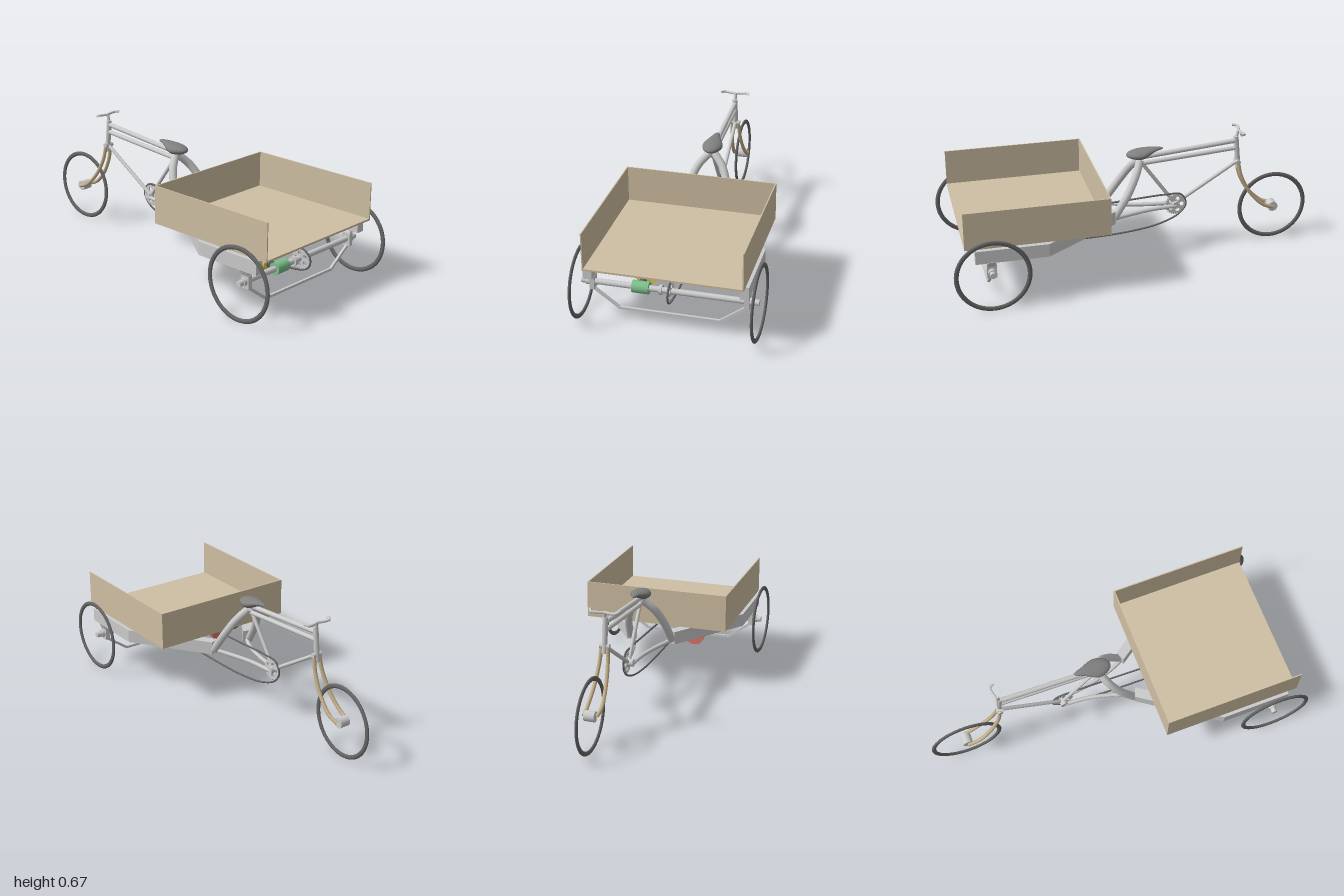
import * as THREE from 'three';

const V = (x, y, z) => new THREE.Vector3(x, y, z);
const mat = (color) => new THREE.MeshStandardMaterial({ color, side: THREE.DoubleSide });
const GREY = mat(0xcccccc), DARK = mat(0x666666), WOOD = mat(0xcfbfa3), TAN = mat(0xc4b08a);
const RED = mat(0xd97466), YELLOW = mat(0xe0c658), GREEN = mat(0x7cc08c), SADDLE = mat(0x808080);

export function createModel() {
  const model = new THREE.Group();

  function add(name, geometry, material = GREY, pos = [0, 0, 0]) {
    const mesh = new THREE.Mesh(geometry, material);
    mesh.name = name;
    mesh.position.set(...pos);
    model.add(mesh);
    return mesh;
  }
  const box = (name, size, pos, m) => add(name, new THREE.BoxGeometry(...size), m, pos);

  // Straight round bar between two points
  function rod(name, a, b, r, m, r2 = r) {
    const d = b.clone().sub(a);
    const mesh = add(name, new THREE.CylinderGeometry(r2, r, d.length(), 20), m);
    mesh.position.copy(a).addScaledVector(d, 0.5);
    mesh.quaternion.setFromUnitVectors(V(0, 1, 0), d.normalize());
    return mesh;
  }
  const tube = (name, pts, r, m, closed = false, n = 40) =>
    add(name, new THREE.TubeGeometry(new THREE.CatmullRomCurve3(pts, closed), n, r, 10, closed), m);

  // Flat bar of square section between two points
  function bar(name, a, b, w, t, m) {
    const d = b.clone().sub(a);
    const mesh = add(name, new THREE.BoxGeometry(w, d.length() + w * 0.4, t), m);
    mesh.position.copy(a).addScaledVector(d, 0.5);
    mesh.quaternion.setFromUnitVectors(V(0, 1, 0), d.normalize());
    return mesh;
  }

  // Toothed wheel on the x axis with round openings
  function gear(name, r, teeth, pos) {
    const s = new THREE.Shape();
    for (let i = 0; i < teeth * 4; i++) {
      const a = (i / (teeth * 4)) * Math.PI * 2, q = i % 4 < 2 ? r : r * 0.88;
      s[i ? 'lineTo' : 'moveTo'](Math.cos(a) * q, Math.sin(a) * q);
    }
    for (let i = 0; i < 5; i++) {
      const a = (i / 5) * Math.PI * 2;
      s.holes.push(new THREE.Path().absarc(Math.cos(a) * r * 0.55, Math.sin(a) * r * 0.55, r * 0.2, 0, Math.PI * 2, true));
    }
    const g = new THREE.ExtrudeGeometry(s, { depth: 0.008, bevelEnabled: false, curveSegments: 8 });
    add(name, g.translate(0, 0, -0.004).rotateY(Math.PI / 2), GREY, pos);
  }

  // Cargo tray, open at the +z end
  box('trayFloor', [0.79, 0.01, 0.74], [0, 0.335, 0.56], WOOD);
  box('trayEndWall', [0.79, 0.2, 0.006], [0, 0.43, 0.193], WOOD);
  for (const s of [-1, 1]) box('traySideWall', [0.006, 0.2, 0.74], [s * 0.392, 0.43, 0.56], WOOD);

  // Wheels: deep, narrow rings
  for (const [x, z] of [[-0.445, 0.8], [0.445, 0.8], [0, -0.8]]) {
    const g = new THREE.TorusGeometry(0.183, 0.012, 12, 64).scale(1, 1, 0.6).rotateY(Math.PI / 2);
    add('wheel', g, DARK, [x, 0.2, z]);
  }

  // Chassis: two bent beams that converge towards the saddle
  const plan = [[0.41, 0.88], [0.41, 0.51], [0.135, 0.11], [0.085, 0.13], [0.365, 0.535], [0.365, 0.88]];
  const beamGeo = new THREE.ExtrudeGeometry(new THREE.Shape(plan.map((p) => new THREE.Vector2(...p))),
    { depth: 0.07, bevelEnabled: false }).rotateX(Math.PI / 2);

  for (const s of [-1, 1]) {
    add('chassisBeam', beamGeo, GREY, [0, 0.325, 0]).scale.x = s;
    // Axle hangers and truss
    box('axleClamp', [0.024, 0.07, 0.05], [s * 0.387, 0.2, 0.8]);
    bar('axleHanger', V(s * 0.387, 0.23, 0.8), V(s * 0.4, 0.258, 0.8), 0.022, 0.045);
    bar('trussArm', V(s * 0.385, 0.168, 0.805), V(s * 0.252, 0.07, 0.805), 0.013, 0.013);
    rod('axleEnd', V(s * 0.4, 0.2, 0.8), V(s * 0.42, 0.2, 0.8), 0.02);
    // Curved stays from saddle to chassis
    tube('seatStay', [V(s * 0.012, 0.545, -0.05), V(s * 0.065, 0.485, -0.015),
      V(s * 0.1, 0.4, 0.035), V(s * 0.118, 0.28, 0.115)], 0.021);
    tube('chainStay', [V(s * 0.02, 0.265, -0.25), V(s * 0.035, 0.265, -0.1),
      V(s * 0.075, 0.265, 0.05), V(s * 0.115, 0.27, 0.14)], 0.011);
    // Front fork blades
    tube('forkBlade', [V(s * 0.016, 0.49, -0.592), V(s * 0.022, 0.4, -0.612), V(s * 0.03, 0.3, -0.665),
      V(s * 0.036, 0.225, -0.74), V(s * 0.032, 0.2, -0.8)], 0.01, TAN);
    // Handlebar halves
    tube('handlebar', [V(0, 0.66, -0.595), V(s * 0.04, 0.66, -0.605), V(s * 0.065, 0.662, -0.605),
      V(s * 0.076, 0.666, -0.582)], 0.007);
  }
  bar('trussBase', V(-0.252, 0.07, 0.805), V(0.252, 0.07, 0.805), 0.013, 0.013);
  rod('rearAxle', V(-0.445, 0.2, 0.8), V(0.445, 0.2, 0.8), 0.015);
  rod('axleCollar', V(-0.05, 0.2, 0.8), V(-0.034, 0.2, 0.8), 0.025);
  rod('axleCoupling', V(-0.185, 0.2, 0.8), V(-0.1, 0.2, 0.8), 0.031, GREEN);
  rod('frontHub', V(-0.027, 0.2, -0.8), V(0.027, 0.2, -0.8), 0.027);

  // Bicycle frame
  rod('headTube', V(0, 0.45, -0.598), V(0, 0.63, -0.58), 0.014);
  rod('forkCrown', V(-0.026, 0.485, -0.592), V(0.026, 0.485, -0.592), 0.013);
  rod('stem', V(0, 0.62, -0.582), V(0, 0.662, -0.592), 0.008);
  rod('topTube', V(0, 0.56, -0.05), V(0, 0.605, -0.58), 0.013);
  rod('middleTube', V(0, 0.525, -0.06), V(0, 0.563, -0.585), 0.012);
  rod('downTube', V(0, 0.485, -0.592), V(0, 0.27, -0.25), 0.01);
  rod('seatTube', V(0, 0.54, -0.055), V(0, 0.27, -0.25), 0.01);
  rod('seatPost', V(0, 0.52, -0.06), V(0, 0.575, -0.03), 0.014);
  rod('bottomBracket', V(-0.028, 0.27, -0.25), V(0.028, 0.27, -0.25), 0.02);

  // Saddle: a sphere drawn out into a narrow raised nose
  const saddle = new THREE.SphereGeometry(1, 32, 20), p = saddle.attributes.position;
  for (let i = 0; i < p.count; i++) {
    const z = p.getZ(i), t = THREE.MathUtils.smoothstep(-z, -0.35, 0.75);
    p.setXYZ(i, p.getX(i) * THREE.MathUtils.lerp(0.056, 0.024, t),
      0.58 + t * 0.022 + p.getY(i) * THREE.MathUtils.lerp(0.028, 0.013, t), -0.08 + z * 0.1);
  }
  saddle.computeVertexNormals();
  add('saddle', saddle, SADDLE);

  // Chain drive
  gear('chainring', 0.06, 28, [0.008, 0.27, -0.25]);
  gear('rearSprocket', 0.056, 24, [0.008, 0.2, 0.81]);
  tube('chain', [[0.25, 0.83], [0.257, 0.79], [0.28, 0.6], [0.305, 0.3], [0.32, 0.05], [0.332, -0.2], [0.325, -0.28],
    [0.27, -0.308], [0.215, -0.275], [0.165, -0.17], [0.135, 0], [0.123, 0.25], [0.126, 0.55], [0.14, 0.8], [0.165, 0.855],
    [0.21, 0.867]].map(([y, z]) => V(0.008, y, z)), 0.005, DARK, true, 120);

  // Hanging bracket: two arms narrowing to a round housing
  function bracket(name, half, depth, z, m) {
    const s = new THREE.Shape();
    s.moveTo(-half, 0.13);
    s.lineTo(-0.052, 0.025);
    s.absarc(0, 0, 0.058, Math.PI * 0.86, Math.PI * 2.14, false);
    s.lineTo(half, 0.13);
    s.lineTo(0.052, 0.13);
    s.lineTo(0.052, 0.055);
    s.lineTo(-0.052, 0.055);
    s.lineTo(-0.052, 0.13);
    add(name, new THREE.ExtrudeGeometry(s, { depth, bevelEnabled: false }), m, [-0.15, 0.2, z]);
  }
  const shaft = (name, r, z0, z1, m) => rod(name, V(-0.15, 0.2, z0), V(-0.15, 0.2, z1), r, m);

  // Gearbox and bevel drive
  bracket('gearboxBracket', 0.125, 0.012, 0.605, YELLOW);
  shaft('gearboxFlange', 0.06, 0.615, 0.635, YELLOW);
  shaft('gearboxBody', 0.045, 0.63, 0.71, YELLOW);
  shaft('gearboxRing', 0.058, 0.66, 0.69, YELLOW);
  shaft('gearboxCap', 0.03, 0.7, 0.73, YELLOW);
  for (let i = 0; i < 6; i++) {
    const a = (i / 6) * Math.PI * 2, x = -0.15 + Math.cos(a) * 0.048, y = 0.2 + Math.sin(a) * 0.048;
    rod('gearboxBolt', V(x, y, 0.63), V(x, y, 0.7), 0.007, YELLOW);
  }
  shaft('outputShaft', 0.01, 0.72, 0.8, DARK);
  for (let i = 0; i < 4; i++) add('couplingRing', new THREE.TorusGeometry(0.014, 0.004, 8, 20), DARK, [-0.15, 0.2, 0.735 + i * 0.012]);

  // Motor
  shaft('motorShaft', 0.012, 0.52, 0.62, RED);
  shaft('motor', 0.053, 0.43, 0.53, RED);
  bracket('motorBracket', 0.12, 0.012, 0.43, RED);
  box('motorMount', [0.1, 0.085, 0.09], [-0.15, 0.288, 0.475], RED);

  return model;
}
